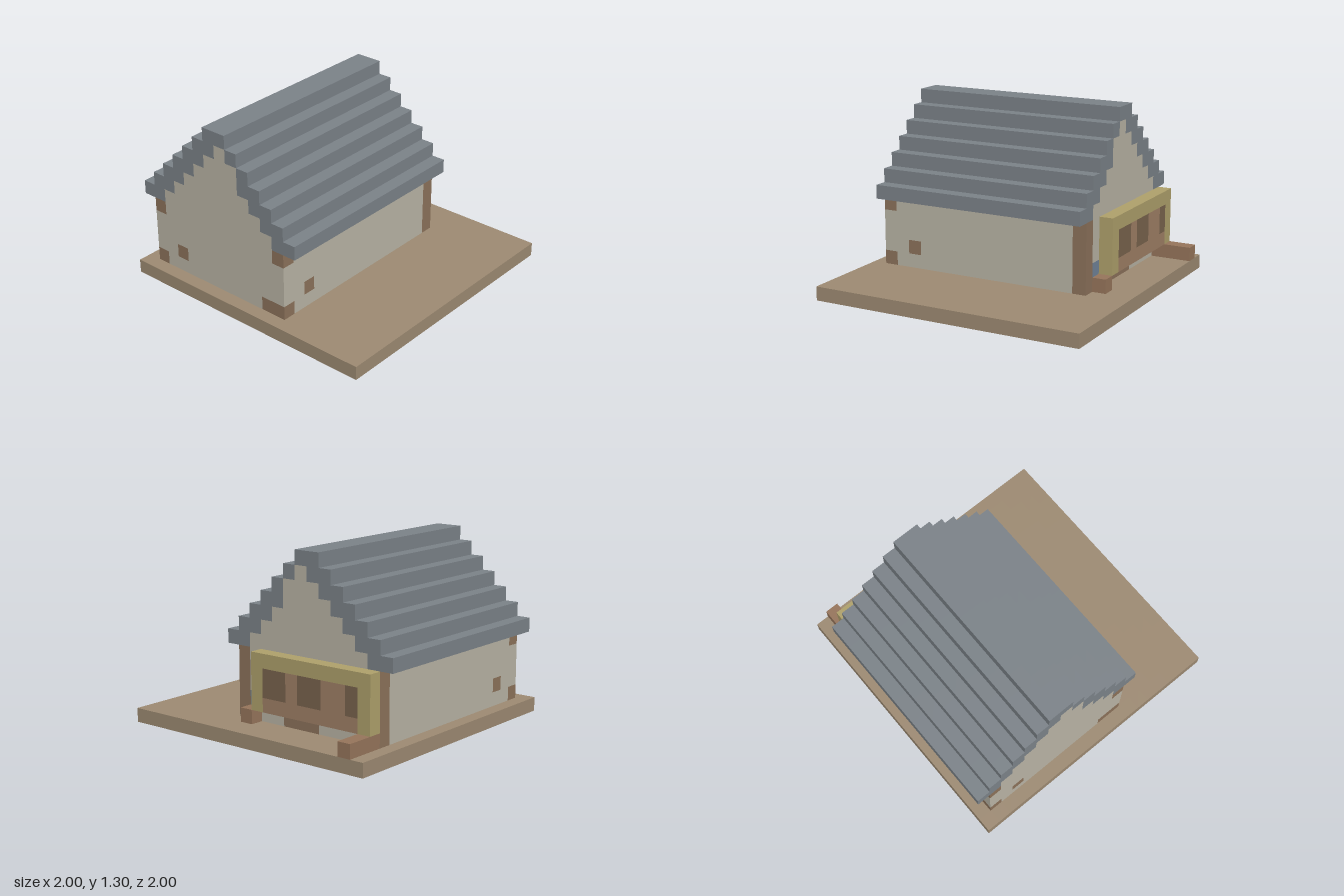
import * as THREE from 'three';
import { mergeGeometries } from 'three/addons/utils/BufferGeometryUtils.js';

const U = 0.1; // edge of one block

// Part name -> colour
const COLORS = {
  base: 0x9e8b73, walls: 0xbab5a6, timber: 0x8d735b, roof: 0x7c8389,
  signFrame: 0xb0a26c, signPanel: 0xa08066, signMarks: 0x7a644e,
  footBlocks: 0x97765c, windowPane: 0x71859a,
};

// One unit face per direction, already turned outward
const FACES = [
  [[1, 0, 0], 0, Math.PI / 2], [[-1, 0, 0], 0, -Math.PI / 2],
  [[0, 1, 0], -Math.PI / 2, 0], [[0, -1, 0], Math.PI / 2, 0],
  [[0, 0, 1], 0, 0], [[0, 0, -1], 0, Math.PI],
].map(([dir, rx, ry]) => {
  const geo = new THREE.PlaneGeometry(U, U).rotateX(rx).rotateY(ry);
  return { dir, geo: geo.translate(dir[0] * U / 2, dir[1] * U / 2, dir[2] * U / 2) };
});

export function createModel() {
  const group = new THREE.Group();
  const blocks = new Map();
  const key = (x, y, z) => `${x},${y},${z}`;

  // Fill a range of blocks (ends exclusive, in block units); later fills replace earlier ones
  const fill = (part, x0, x1, y0, y1, z0, z1) => {
    for (let x = x0; x < x1; x++)
      for (let y = y0; y < y1; y++)
        for (let z = z0; z < z1; z++) blocks.set(key(x, y, z), { part, x, y, z });
  };

  // Ground slab
  fill('base', -10, 10, 0, 1, -10, 10);

  // Stepped roof, two blocks wide per course
  for (let i = 0; i < 7; i++) {
    fill('roof', -10 + i, -8 + i, 6 + i, 7 + i, -7, 9);
    fill('roof', 2 - i, 4 - i, 6 + i, 7 + i, -7, 9);
  }

  // Side walls, then gable ends stepped under the roof
  for (const x of [-9, 2]) fill('walls', x, x + 1, 1, 6, -7, 9);
  for (const z of [-7, 8]) {
    fill('walls', -9, 3, 1, 6, z, z + 1);
    for (let i = 0; i < 6; i++) {
      const right = i < 4 ? 2 - i : 3 - i;
      fill('walls', -8 + i, right, 6 + i, 7 + i, z, z + 1);
    }
  }

  // Corner timbers, rear posts and exposed blocks in the plaster
  for (const x of [-9, 2]) {
    fill('timber', x, x + 1, 1, 6, -7, -6);
    fill('timber', x, x + 1, 1, 2, 8, 9);
    fill('timber', x, x + 1, 5, 6, 8, 9);
    fill('timber', x, x + 1, 2, 3, 6, 7);
  }
  fill('timber', -7, -6, 2, 3, 8, 9);
  fill('timber', 1, 2, 1, 2, 8, 9);
  fill('timber', -4, -1, 1, 2, -7, -6);
  fill('windowPane', 1, 2, 2, 3, -7, -6);

  // Sign board on the rear wall
  fill('signFrame', -9, 1, 2, 6, -8, -7);
  fill('signPanel', -8, 0, 2, 5, -8, -7);
  for (const [x0, x1] of [[-2, 0], [-5, -3], [-8, -7]]) fill('signMarks', x0, x1, 3, 5, -8, -7);

  // Small blocks at the foot of the sign
  fill('footBlocks', 1, 2, 1, 2, -8, -7);
  fill('footBlocks', -9, -8, 1, 2, -10, -7);

  // Skin every block with its exposed faces; the slab is open underneath
  const skins = {};
  for (const { part, x, y, z } of blocks.values()) {
    for (const { dir: [dx, dy, dz], geo } of FACES) {
      if (y + dy < 0 || blocks.has(key(x + dx, y + dy, z + dz))) continue;
      (skins[part] ??= []).push(geo.clone().translate((x + 0.5) * U, (y + 0.5) * U, (z + 0.5) * U));
    }
  }
  for (const [part, geos] of Object.entries(skins)) {
    const material = new THREE.MeshStandardMaterial({ color: COLORS[part], side: THREE.DoubleSide });
    const mesh = new THREE.Mesh(mergeGeometries(geos), material);
    mesh.name = part;
    group.add(mesh);
  }
  return group;
}
